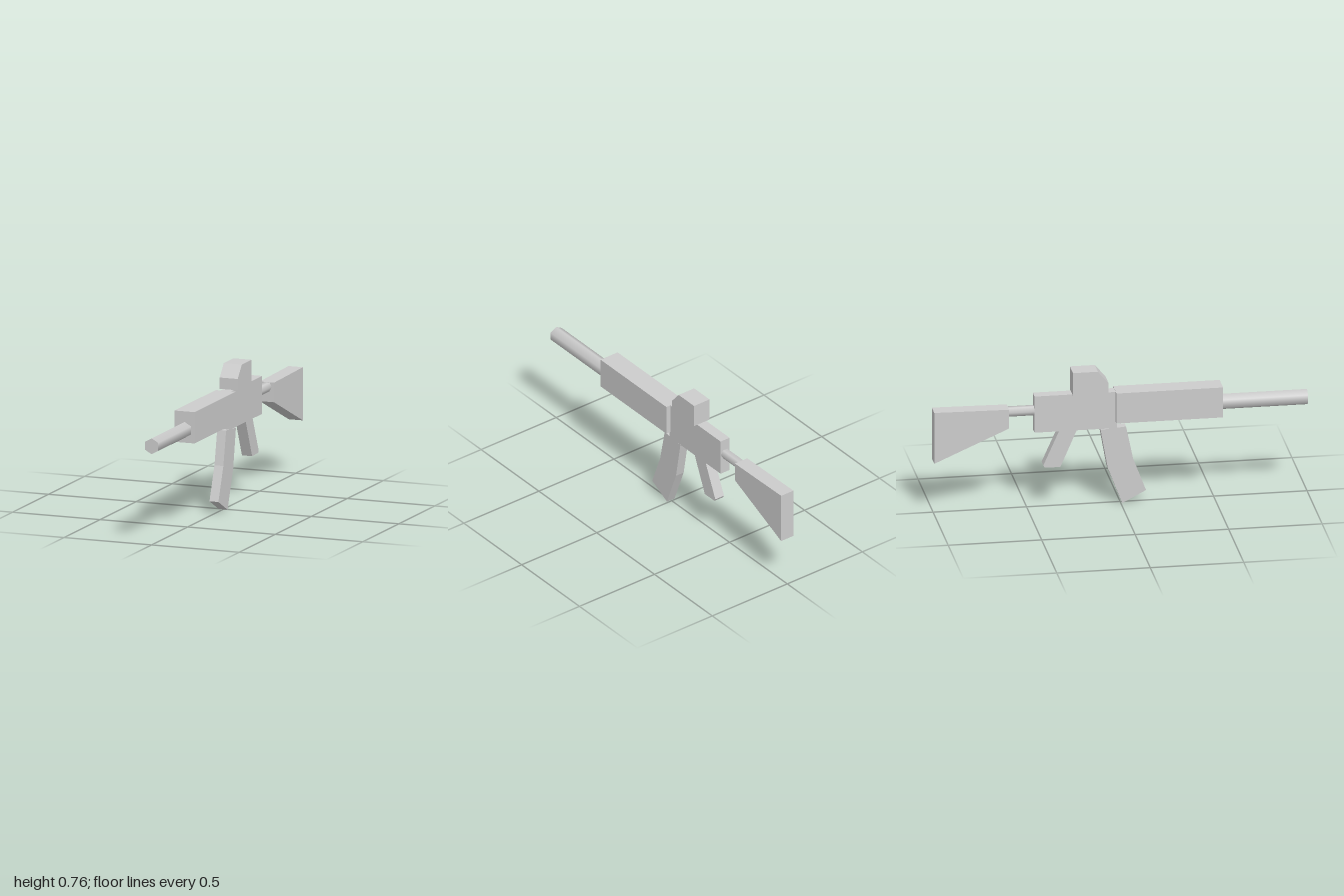
import * as THREE from 'three';

export function createModel() {
  const model = new THREE.Group();
  const grey = new THREE.MeshStandardMaterial({ color: 0xcccccc });
  grey.name = 'lightGrey';

  function add(name, geometry) {
    const mesh = new THREE.Mesh(geometry, grey);
    mesh.name = name;
    model.add(mesh);
    return mesh;
  }

  // Side profile of [z, y] points, extruded to a width centred on x = 0
  function slab(name, width, points) {
    const shape = new THREE.Shape(points.map(([z, y]) => new THREE.Vector2(z, y)));
    const geometry = new THREE.ExtrudeGeometry(shape, { depth: width, bevelEnabled: false });
    geometry.rotateY(-Math.PI / 2).translate(width / 2, 0, 0);
    return add(name, geometry);
  }

  // Box from z and y limits
  function block(name, width, z0, z1, y0, y1) {
    const geometry = new THREE.BoxGeometry(width, y1 - y0, z1 - z0);
    geometry.translate(0, (y0 + y1) / 2, (z0 + z1) / 2);
    return add(name, geometry);
  }

  // Smooth six-sided rod along z
  function rod(name, radius, z0, z1, y, turn) {
    const geometry = new THREE.CylinderGeometry(radius, radius, z1 - z0, 6);
    geometry.rotateY(turn).rotateX(Math.PI / 2).translate(0, y, (z0 + z1) / 2);
    return add(name, geometry);
  }

  // Body along the main axis
  rod('barrel', 0.043, 0.53, 1, 0.532, 0);
  block('handguard', 0.114, -0.028, 0.542, 0.463, 0.632);
  block('receiver', 0.06, -0.462, -0.02, 0.427, 0.631);

  // Sight with sloped front
  slab('sight', 0.103, [
    [-0.07, 0.631], [-0.07, 0.692], [-0.127, 0.759], [-0.26, 0.759], [-0.26, 0.631],
  ]);

  // Shoulder stock on its rod
  rod('stockRod', 0.028, -0.61, -0.45, 0.544, Math.PI / 6);
  slab('stock', 0.082, [
    [-0.6, 0.569], [-0.6, 0.463], [-1, 0.288], [-1, 0.575],
  ]);

  // Rear grip and curved magazine
  slab('grip', 0.058, [
    [-0.235, 0.43], [-0.33, 0.43], [-0.415, 0.239], [-0.408, 0.226], [-0.324, 0.225],
  ]);
  slab('magazine', 0.051, [
    [0.028, 0.431], [0.066, 0.247], [0.135, 0.066],
    [0.008, 0], [-0.07, 0.205], [-0.108, 0.42],
  ]);

  return model;
}
